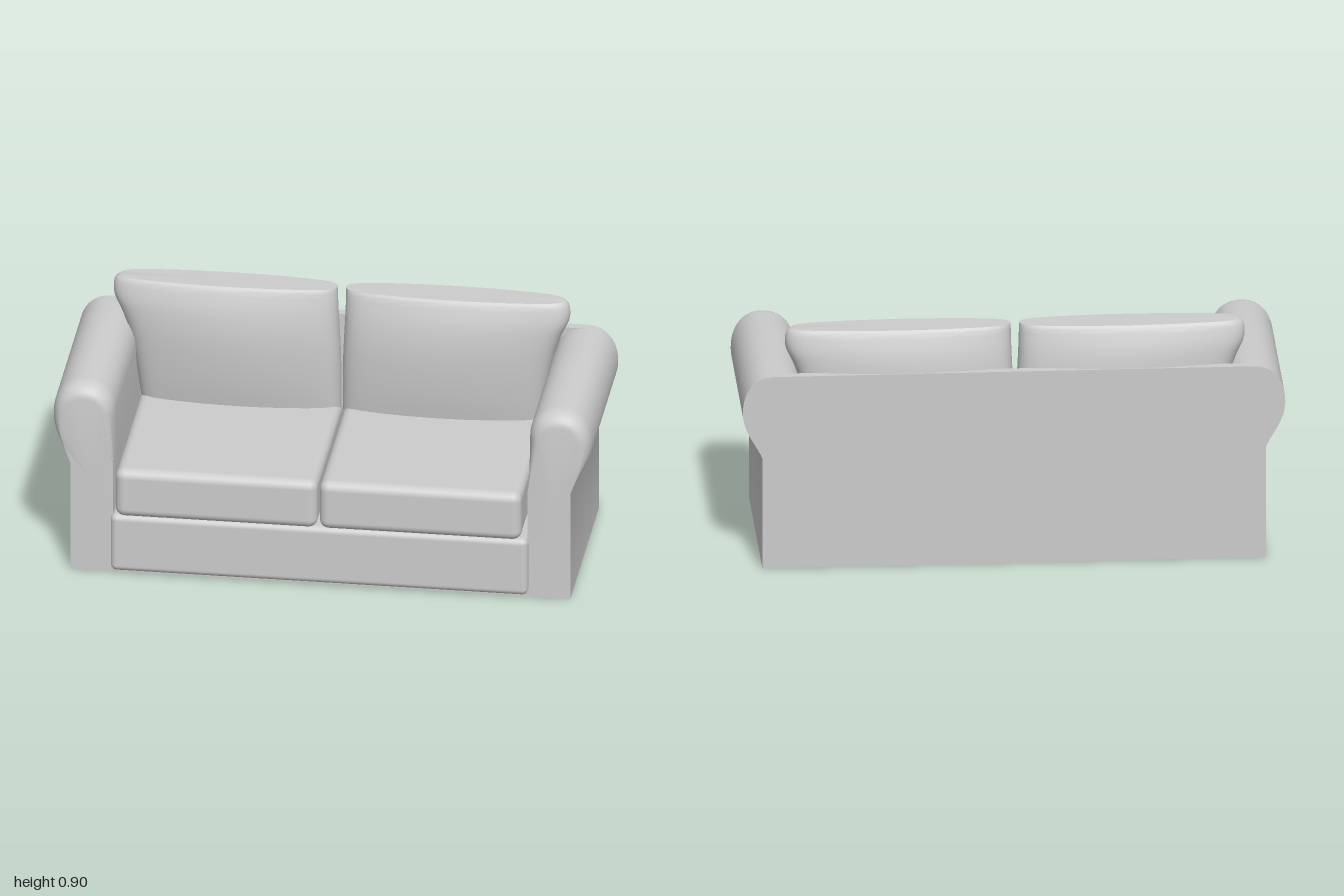
import * as THREE from 'three';
import { toCreasedNormals } from 'three/addons/utils/BufferGeometryUtils.js';
import { RoundedBoxGeometry } from 'three/addons/geometries/RoundedBoxGeometry.js';

const fabric = new THREE.MeshStandardMaterial({ color: 0xcccccc });

function add(group, name, geometry, x = 0, y = 0, z = 0) {
  const mesh = new THREE.Mesh(geometry, fabric);
  mesh.name = name;
  mesh.position.set(x, y, z);
  group.add(mesh);
}

// Skin closed rings (counter-clockwise seen from the last ring) and cap both ends
function loft(rings, capPoint) {
  const n = rings[0].length;
  const points = rings.flat();
  const index = [];
  for (let i = 0; i < rings.length - 1; i++) {
    for (let j = 0; j < n; j++) {
      const a = i * n + j, b = i * n + (j + 1) % n;
      index.push(a, b, b + n, a, b + n, a + n);
    }
  }
  const last = (rings.length - 1) * n;
  const c0 = points.push(capPoint(rings[0])) - 1;
  const c1 = points.push(capPoint(rings[rings.length - 1])) - 1;
  for (let j = 0; j < n; j++) {
    const k = (j + 1) % n;
    index.push(c0, k, j, c1, last + j, last + k);
  }
  const geometry = new THREE.BufferGeometry().setFromPoints(points);
  geometry.setIndex(index);
  return toCreasedNormals(geometry, 0.6);
}

const mirror = (rings) => rings.map((ring) =>
  ring.map((p) => new THREE.Vector3(-p.x, p.y, p.z)).reverse());

// Rolled arm: a scroll profile whose roll rounds over towards the front
function armRings() {
  const shape = new THREE.Shape();
  shape.moveTo(0.928, 0);
  shape.lineTo(0.928, 0.43);
  shape.bezierCurveTo(0.945, 0.48, 1, 0.53, 1, 0.61);
  shape.bezierCurveTo(1, 0.7, 0.95, 0.75, 0.885, 0.75);
  shape.bezierCurveTo(0.82, 0.75, 0.77, 0.71, 0.77, 0.63);
  shape.lineTo(0.77, 0.43);
  shape.lineTo(0.77, 0);
  const profile = shape.getPoints(12);
  if (profile[0].distanceTo(profile[profile.length - 1]) < 1e-6) profile.pop();
  const section = (z, inset) => profile.map((p) => {
    const k = 1 - inset * THREE.MathUtils.smoothstep(p.y, 0.43, 0.62);
    return new THREE.Vector3(0.885 + (p.x - 0.885) * k, 0.6 + (p.y - 0.6) * k, z);
  });
  const rings = [section(-0.4, 0)];
  for (let i = 0; i <= 7; i++) {
    const a = (i / 7) * Math.PI / 2;
    rings.push(section(0.29 + 0.075 * Math.sin(a), 0.36 * (1 - Math.cos(a))));
  }
  return rings;
}

// Back cushion: lens-shaped rings that flare outwards over the arm
function backCushionRings() {
  // outer x, height, half thickness
  const edge = new THREE.CatmullRomCurve3([
    [0.745, 0.41, 0.085], [0.757, 0.5, 0.1], [0.772, 0.6, 0.11], [0.795, 0.7, 0.113],
    [0.82, 0.77, 0.107], [0.843, 0.82, 0.097], [0.848, 0.86, 0.084],
    [0.84, 0.89, 0.072], [0.825, 0.902, 0.062],
  ].map((p) => new THREE.Vector3(...p)));
  const steps = 28;
  return edge.getPoints(24).map((e) => {
    const inner = 0.003 + 0.012 * THREE.MathUtils.smoothstep(e.y, 0.55, 0.9);
    const middle = (inner + e.x) / 2, half = (e.x - inner) / 2;
    const ring = [];
    for (let j = 0; j < 2 * steps; j++) {
      const front = j < steps;
      const u = front ? -1 + 2 * j / steps : 3 - 2 * j / steps;
      const s = Math.sin(u * Math.PI / 2);
      const depth = e.z * (1 - 0.42 * s * s) * Math.sqrt(Math.max(0, 1 - Math.abs(s) ** 16));
      ring.push(new THREE.Vector3(middle + half * s, e.y, -0.285 + (front ? depth : -depth)));
    }
    return ring;
  });
}

export function createModel() {
  const sofa = new THREE.Group();
  sofa.name = 'sofa';

  // Frame
  add(sofa, 'base', new THREE.BoxGeometry(1.54, 0.235, 0.76), 0, 0.1175, -0.02);
  add(sofa, 'frontRail', new RoundedBoxGeometry(1.55, 0.23, 0.1, 5, 0.024), -0.003, 0.127, 0.343);
  add(sofa, 'backPanel', new THREE.BoxGeometry(1.77, 0.75, 0.035), 0, 0.375, -0.3825);

  const arm = armRings();
  const cushion = backCushionRings();
  const centre = (ring) => ring.reduce((sum, p) => sum.add(p), new THREE.Vector3())
    .divideScalar(ring.length);

  // Paired parts
  for (const side of [1, -1]) {
    const label = side > 0 ? 'left' : 'right';
    const sided = (rings) => (side > 0 ? rings : mirror(rings));
    add(sofa, label + 'Arm', loft(sided(arm), (ring) =>
      new THREE.Vector3(side * 0.85, 0.36, ring[0].z)));
    add(sofa, label + 'SeatCushion', new RoundedBoxGeometry(0.75, 0.193, 0.76, 5, 0.035),
      side * 0.379 - 0.006, 0.3325, 0.02);
    add(sofa, label + 'BackCushion', loft(sided(cushion), centre), -0.01);
  }
  return sofa;
}
